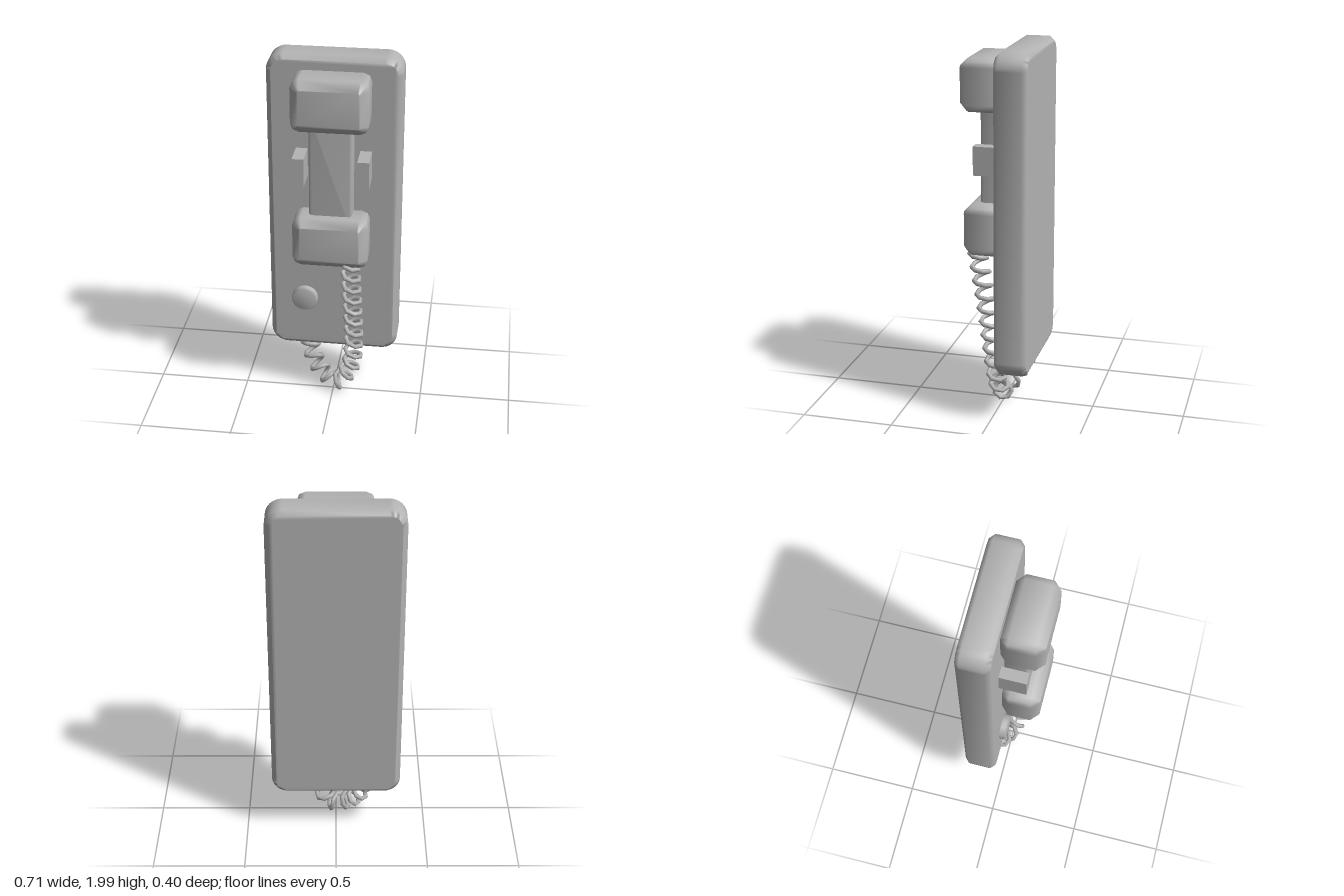
import * as THREE from 'three';
import { mergeVertices } from 'three/addons/utils/BufferGeometryUtils.js';

const grey = new THREE.MeshStandardMaterial({ color: 0xb4b4b4 });
grey.name = 'grey plastic';

// Weld corners so that shading runs smoothly over the bevels
function smooth(geometry) {
  geometry.deleteAttribute('normal');
  geometry.deleteAttribute('uv');
  const welded = mergeVertices(geometry, 1e-4);
  welded.computeVertexNormals();
  return welded;
}

// Box with cut or rounded corners and one bevel round the front and back
function bevelledBox(w, h, d, corner, bevel, steps) {
  const x = w / 2, y = h / 2, c = corner;
  const s = new THREE.Shape();
  s.moveTo(-x + c, -y);
  s.lineTo(x - c, -y);
  s.quadraticCurveTo(x - c * 0.35, -y + c * 0.0, x, -y + c);
  s.curves.pop();
  s.currentPoint.set(x - c, -y);
  s.absarc(x - c, -y + c, c, -Math.PI / 2, 0);
  s.absarc(x - c, y - c, c, 0, Math.PI / 2);
  s.absarc(-x + c, y - c, c, Math.PI / 2, Math.PI);
  s.absarc(-x + c, -y + c, c, Math.PI, Math.PI * 1.5);
  const g = new THREE.ExtrudeGeometry(s, {
    depth: d - 2 * bevel, curveSegments: steps, bevelEnabled: true, bevelSegments: 1,
    bevelThickness: bevel, bevelSize: bevel, bevelOffset: -bevel,
  });
  g.translate(0, 0, bevel - d / 2);
  return smooth(g);
}

export function createModel() {
  const model = new THREE.Group();
  model.name = 'wallTelephone';
  const add = (name, geometry, x, y, z) => {
    const mesh = new THREE.Mesh(geometry, grey);
    mesh.name = name;
    mesh.position.set(x, y, z);
    model.add(mesh);
    return mesh;
  };

  // Wall body
  add('body', bevelledBox(0.708, 1.73, 0.174, 0.09, 0.025, 4), 0, 1.135, -0.112);

  // Handset
  add('earpiece', bevelledBox(0.4, 0.28, 0.222, 0.045, 0.042, 1), 0, 1.8, 0.087);
  add('mouthpiece', bevelledBox(0.4, 0.28, 0.206, 0.045, 0.042, 1), 0, 1.025, 0.081);
  add('handle', bevelledBox(0.226, 0.62, 0.125, 0.01, 0.015, 1), -0.003, 1.41, 0.043);

  // Cradle brackets
  for (const side of [-1, 1]) {
    add('cradleBracket', new THREE.BoxGeometry(0.062, 0.155, 0.16), side * 0.17, 1.412, 0.04);
  }

  // Round button with a bevelled rim
  const profile = [[0.072, -0.02], [0.072, 0.025], [0.064, 0.037], [0, 0.037]]
    .map(([r, h]) => new THREE.Vector2(r, h));
  const button = add('button', smooth(new THREE.LatheGeometry(profile, 16)), -0.16, 0.585, -0.025);
  button.rotation.x = Math.PI / 2;

  // Coiled cord: a spiral wound round a hanging path
  const path = new THREE.CatmullRomCurve3([
    [0.11, 0.91, 0.125], [0.112, 0.75, 0.098], [0.118, 0.55, 0.065], [0.12, 0.35, 0.038],
    [0.1, 0.18, 0.02], [0.02, 0.058, 0.005], [-0.08, 0.11, -0.04],
    [-0.135, 0.2, -0.09], [-0.16, 0.3, -0.12],
  ].map((p) => new THREE.Vector3(...p)));
  const turns = 16, perTurn = 7, steps = turns * perTurn;
  const frames = path.computeFrenetFrames(steps, false);
  const coil = [];
  for (let i = 0; i <= steps; i++) {
    const a = -(i / perTurn) * Math.PI * 2;
    coil.push(path.getPointAt(i / steps)
      .addScaledVector(frames.normals[i], 0.046 * Math.cos(a))
      .addScaledVector(frames.binormals[i], 0.046 * Math.sin(a)));
  }
  const cord = new THREE.TubeGeometry(new THREE.CatmullRomCurve3(coil), steps, 0.013, 6);
  add('coiledCord', cord, 0, 0, 0);

  return model;
}
